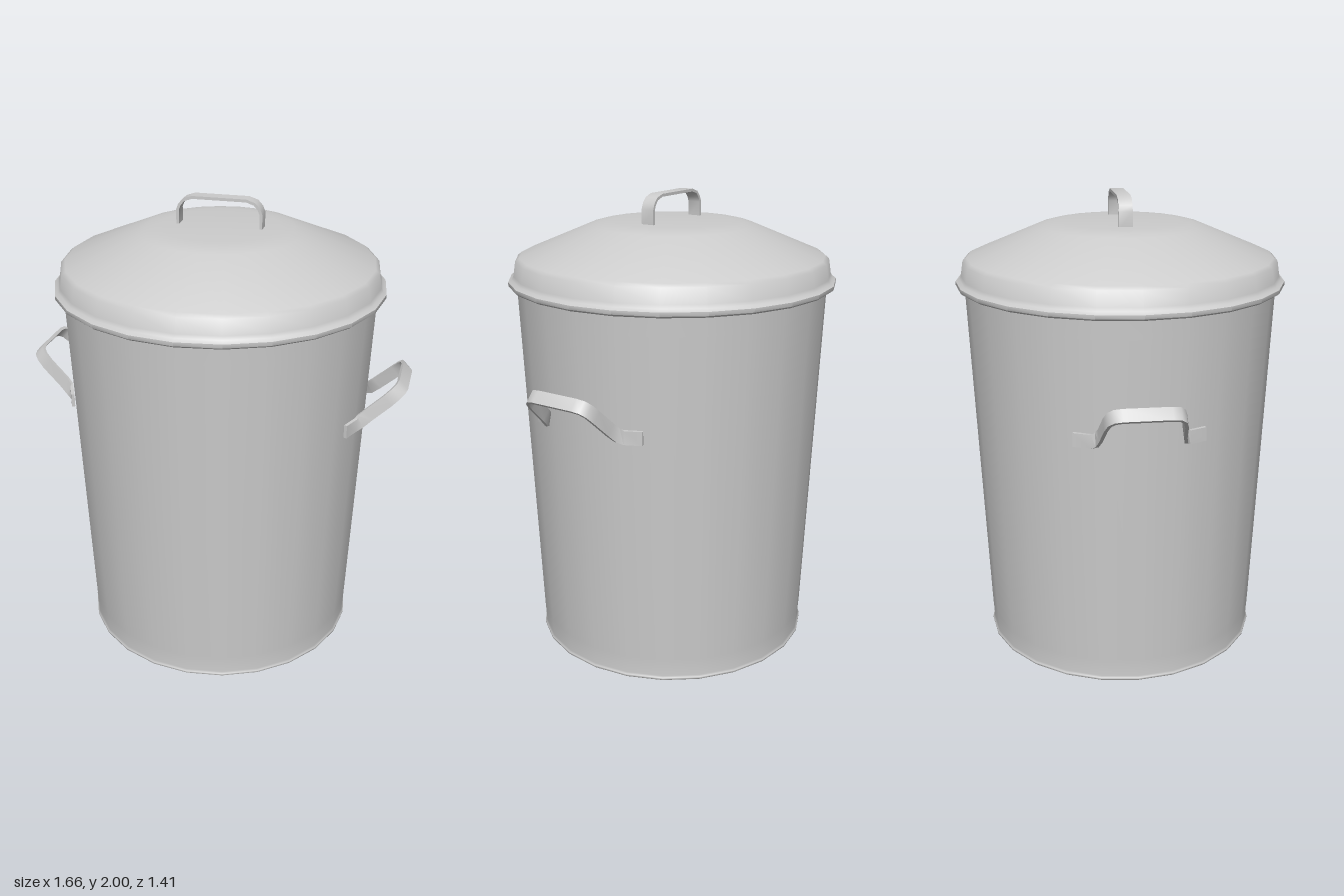
import * as THREE from 'three';
import { toCreasedNormals } from 'three/addons/utils/BufferGeometryUtils.js';

const SIDES = 24;
const material = new THREE.MeshStandardMaterial({ color: 0xcccccc, side: THREE.DoubleSide });

function part(name, geometry, parent) {
  const mesh = new THREE.Mesh(geometry, material);
  mesh.name = name;
  parent.add(mesh);
  return mesh;
}

const lathe = (points) =>
  new THREE.LatheGeometry(points.map(([r, y]) => new THREE.Vector2(r, y)), SIDES);

// Flat metal strap swept along a path; each stop has a position and a half-width vector
function strap(stops, thickness) {
  const positions = [];
  const index = [];
  stops.forEach(({ p, w }, i) => {
    const before = stops[Math.max(i - 1, 0)].p;
    const after = stops[Math.min(i + 1, stops.length - 1)].p;
    const tangent = after.clone().sub(before).normalize();
    const n = tangent.cross(w).normalize().multiplyScalar(thickness / 2);
    for (const [a, b] of [[1, 1], [-1, 1], [-1, -1], [1, -1]]) {
      const v = p.clone().addScaledVector(w, a).addScaledVector(n, b);
      positions.push(v.x, v.y, v.z);
    }
  });
  for (let i = 0; i < stops.length - 1; i++) {
    for (let k = 0; k < 4; k++) {
      const a = i * 4 + k, b = i * 4 + ((k + 1) % 4);
      index.push(a, b, b + 4, a, b + 4, a + 4);
    }
  }
  const e = (stops.length - 1) * 4;
  index.push(0, 3, 2, 0, 2, 1, e, e + 1, e + 2, e, e + 2, e + 3);
  const geometry = new THREE.BufferGeometry();
  geometry.setAttribute('position', new THREE.Float32BufferAttribute(positions, 3));
  geometry.setIndex(index);
  return toCreasedNormals(geometry, 0.9);
}

// Completes a half path by mirroring it along one axis
function mirrored(half, axis) {
  const other = half.map(({ p, w }) => {
    const q = p.clone();
    q[axis] *= -1;
    return { p: q, w };
  });
  return [...half, ...other.reverse()];
}

export function createModel() {
  const group = new THREE.Group();
  group.name = 'trashCan';

  // Tapered body with a small foot lip
  part('body', lathe([
    [0.603, 0], [0.61, 0.006], [0.61, 0.014], [0.602, 0.02],
    [0.607, 0.1], [0.665, 1.53], [0.669, 1.62],
  ]), group);
  const base = part('base', new THREE.CircleGeometry(0.604, SIDES), group);
  base.rotation.x = Math.PI / 2;

  // Domed lid with rolled rim
  part('lid', toCreasedNormals(lathe([
    [0.655, 1.612], [0.695, 1.612], [0.705, 1.62], [0.705, 1.636], [0.69, 1.646],
    [0.682, 1.66], [0.672, 1.722], [0.655, 1.735], [0.35, 1.863],
    [0.31, 1.873], [0.25, 1.879], [0, 1.88],
  ]), 0.9), group);

  // Lid handle
  const across = new THREE.Vector3(0, 0, 0.029);
  const lidHalf = [[-0.177, 1.87], [-0.177, 1.94], [-0.168, 1.962], [-0.15, 1.982], [-0.115, 1.994]]
    .map(([x, y]) => ({ p: new THREE.Vector3(x, y, 0), w: across }));
  part('lidHandle', strap(mirrored(lidHalf, 'x'), 0.012), group);

  // Tilted side handles, with feet lying against the body
  const upright = new THREE.Vector3(0, 0.029, 0);
  const between = new THREE.Vector3(-0.012, 0.026, 0);
  const tilted = new THREE.Vector3(-0.019, 0.02, 0);
  const sideHalf = [
    [0.6, 1.12, 0.265, upright], [0.632, 1.12, 0.195, upright],
    [0.65, 1.132, 0.176, between], [0.68, 1.16, 0.166, tilted],
    [0.755, 1.23, 0.155, tilted], [0.785, 1.26, 0.144, tilted],
    [0.801, 1.275, 0.125, tilted], [0.807, 1.28, 0.095, tilted],
  ].map(([x, y, z, w]) => ({ p: new THREE.Vector3(x, y, z), w }));
  const sideGeometry = strap(mirrored(sideHalf, 'z'), 0.014);
  part('leftHandle', sideGeometry, group);
  part('rightHandle', sideGeometry, group).rotation.y = Math.PI;

  return group;
}
